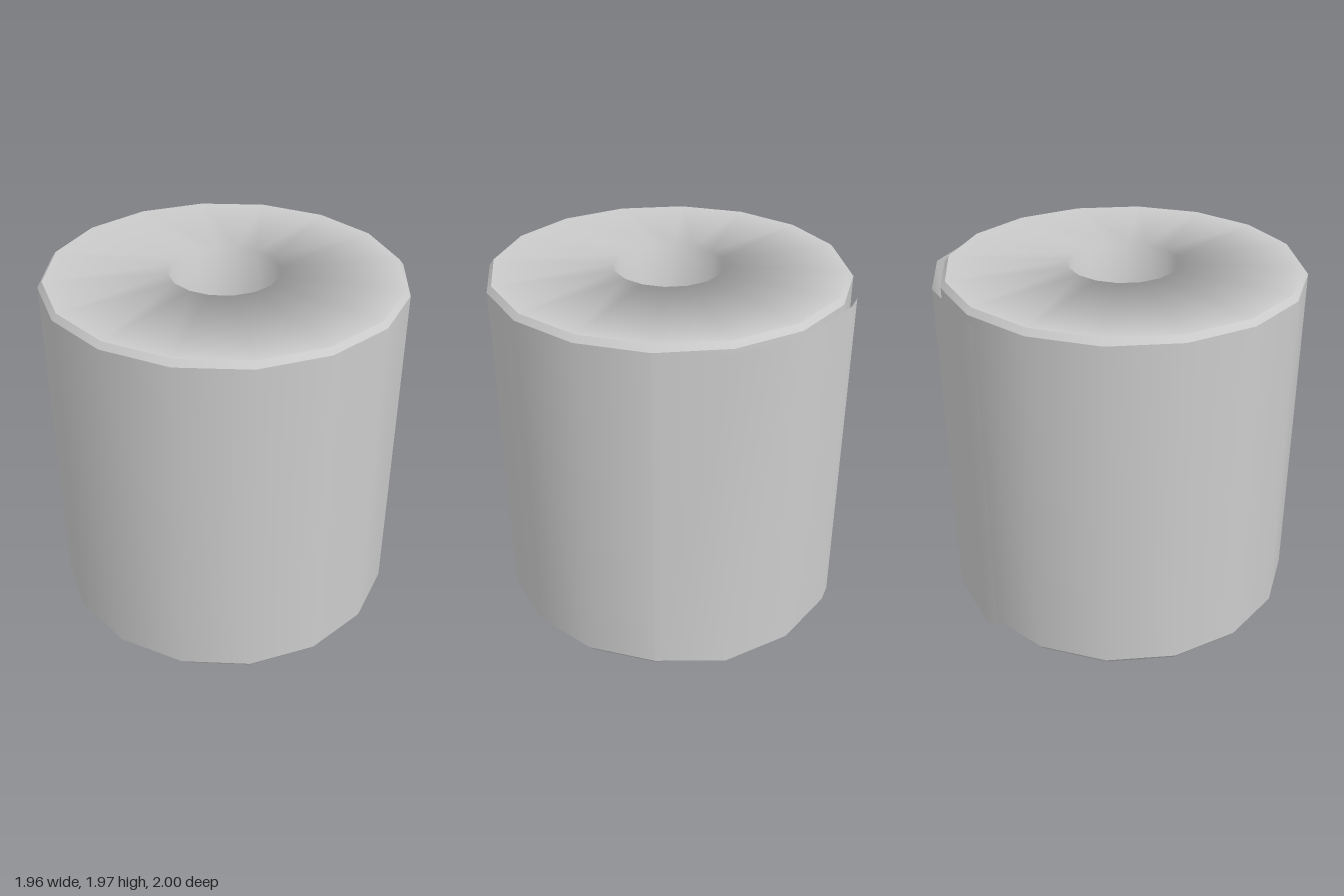
import * as THREE from 'three';

const SIDES = 16, R = 0.978, RIM = 0.953, HOLE = 0.3, H = 1.965, BEVEL = 0.032, CZ = 0.02;

export function createModel() {
  const group = new THREE.Group();
  group.name = 'paperRoll';
  const material = new THREE.MeshStandardMaterial({ color: 0xcccccc });

  // Each band is its own lathe, so edges between bands stay sharp
  const band = (name, points) => {
    const profile = points.map(([r, y]) => new THREE.Vector2(r, y));
    const mesh = new THREE.Mesh(new THREE.LatheGeometry(profile, SIDES), material);
    mesh.name = name;
    mesh.position.z = CZ;
    group.add(mesh);
  };
  band('outerWall', [[R, BEVEL], [R, H - BEVEL]]);
  band('bottomBevel', [[RIM, 0], [R, BEVEL]]);
  band('topBevel', [[R, H - BEVEL], [RIM, H]]);
  // End faces and hole share smooth normals
  band('endsAndHole', [[RIM, H], [HOLE, H], [HOLE, 0], [RIM, 0]]);

  // Loose end of the sheet, lifting off the back of the roll
  const path = [[22.5, R], [0, 1.02], [-22.5, 1.022], [-45, 1.02], [-51, 1.017]];
  const sheet = new THREE.PlaneGeometry(1, H - 2 * BEVEL, path.length - 1, 1);
  const pos = sheet.attributes.position;
  for (let i = 0; i < pos.count; i++) {
    const [deg, r] = path[i % path.length];
    const a = THREE.MathUtils.degToRad(deg);
    pos.setXYZ(i, r * Math.sin(a), pos.getY(i) + H / 2, CZ - r * Math.cos(a));
  }
  sheet.computeVertexNormals();
  const flapMaterial = material.clone();
  flapMaterial.side = THREE.DoubleSide;
  const flap = new THREE.Mesh(sheet, flapMaterial);
  flap.name = 'looseSheetEnd';
  group.add(flap);

  return group;
}
